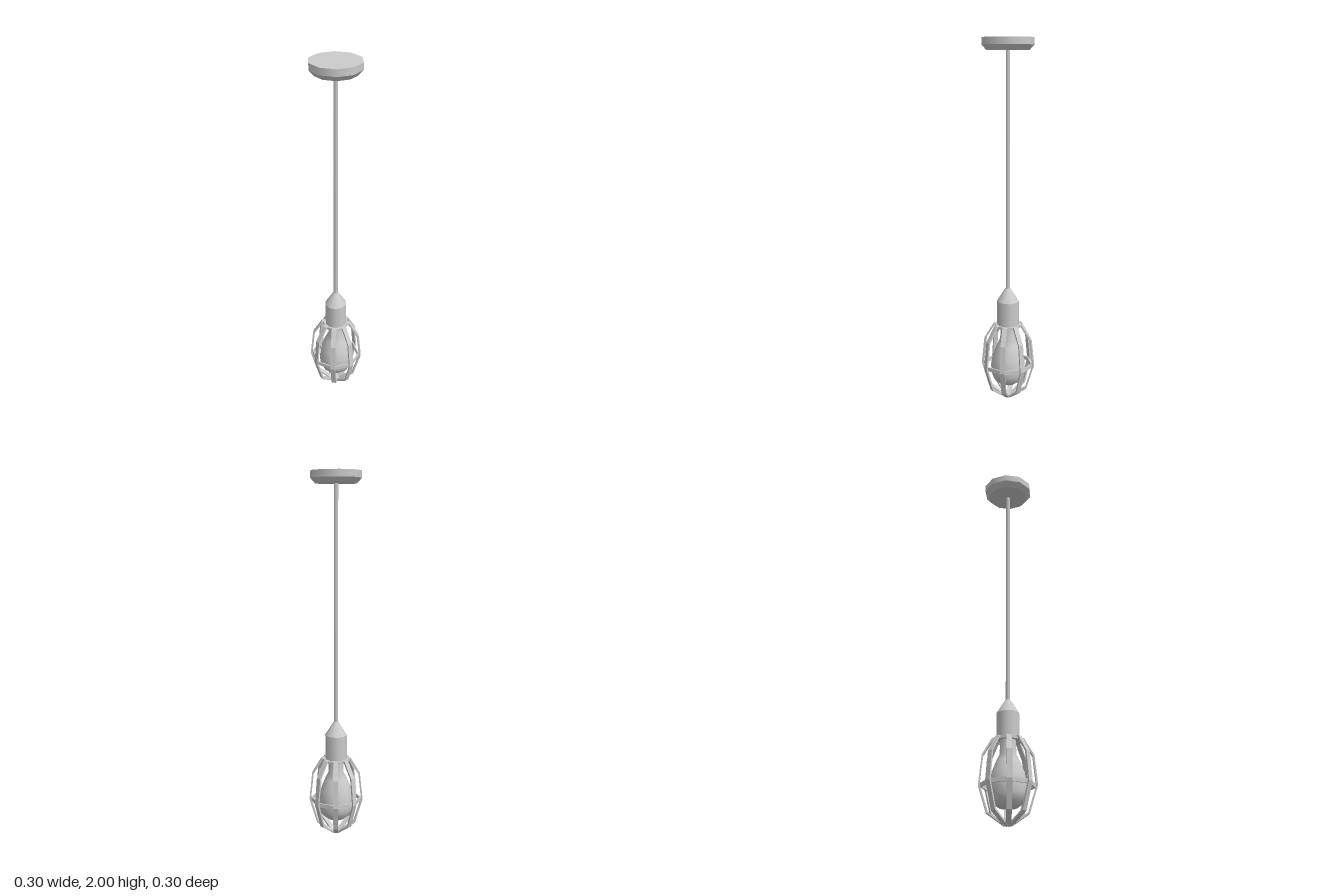
import * as THREE from 'three';

export function createModel() {
  const model = new THREE.Group();
  model.name = 'cagePendantLamp';
  const metal = new THREE.MeshStandardMaterial({ color: 0xcccccc });
  metal.name = 'lightGrey';

  const add = (name, geometry, parent = model) => {
    const mesh = new THREE.Mesh(geometry, metal);
    mesh.name = name;
    parent.add(mesh);
    return mesh;
  };
  // Round section between two heights
  const section = (name, y0, r0, y1, r1, sides, open = false) => {
    const mesh = add(name, new THREE.CylinderGeometry(r1, r0, y1 - y0, sides, 1, open));
    mesh.position.y = (y0 + y1) / 2;
  };
  // Octagonal band with a rectangular section, corners in line with the ribs
  const band = (name, inner, outer, y0, y1, parent) => {
    const profile = [[outer, y0], [outer, y1], [inner, y1], [inner, y0], [outer, y0]]
      .map(p => new THREE.Vector2(...p));
    const geometry = new THREE.LatheGeometry(profile, 8).toNonIndexed();
    geometry.computeVertexNormals();
    add(name, geometry, parent);
  };

  // Ceiling canopy with chamfered lower edge
  section('canopy', 1.963, 0.137, 2, 0.137, 10);
  section('canopyChamfer', 1.935, 0.112, 1.963, 0.137, 10);

  // Hanging rod
  section('rod', 0.64, 0.012, 1.94, 0.012, 6, true);

  // Lamp socket
  section('socket', 0.43, 0.061, 0.575, 0.061, 10);
  section('socketCap', 0.575, 0.061, 0.65, 0.014, 10);

  // Bulb
  const bulb = [
    [0, 0.085], [0.05, 0.088], [0.08, 0.112], [0.094, 0.15], [0.096, 0.2],
    [0.086, 0.26], [0.062, 0.32], [0.044, 0.355], [0.041, 0.435],
  ].map(p => new THREE.Vector2(...p));
  add('bulb', new THREE.LatheGeometry(bulb, 12));

  // Wire cage: collar, hoop and eight flat ribs
  const cage = new THREE.Group();
  cage.name = 'cage';
  model.add(cage);
  band('cageCollar', 0.058, 0.076, 0.425, 0.44, cage);
  band('cageHoop', 0.132, 0.14, 0.188, 0.21, cage);

  const ribOutline = new THREE.Shape([
    // outer side, bottom to top
    [0, 0], [0.022, 0], [0.108, 0.06], [0.15, 0.2], [0.134, 0.352], [0.082, 0.44],
    // inner side, top to bottom
    [0.07, 0.44], [0.125, 0.349], [0.141, 0.2], [0.1, 0.066], [0.019, 0.009], [0, 0.009],
  ].map(p => new THREE.Vector2(...p)));
  const ribWidth = 0.027;
  const ribGeometry = new THREE.ExtrudeGeometry(ribOutline, { depth: ribWidth, bevelEnabled: false });
  ribGeometry.translate(0, 0, -ribWidth / 2);
  for (let i = 0; i < 8; i++) {
    add('cageRib' + (i + 1), ribGeometry, cage).rotation.y = i * Math.PI / 4;
  }

  return model;
}
